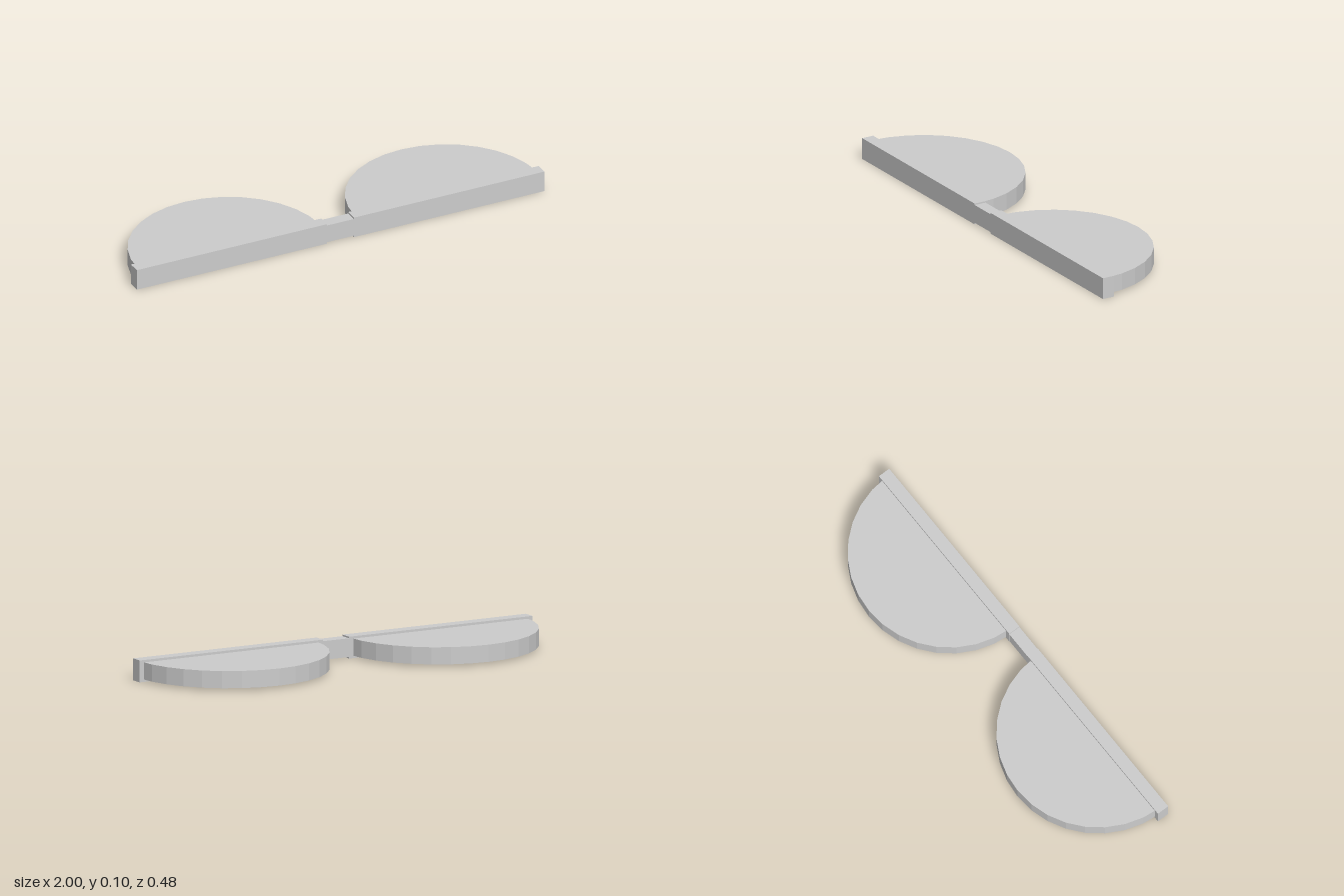
import * as THREE from 'three';

export function createModel() {
  const model = new THREE.Group();
  const grey = new THREE.MeshStandardMaterial({ color: 0xcccccc, flatShading: true });
  grey.name = 'light grey';

  const midY = 0.049;
  const barZ = 0.2095;

  const add = (name, geometry, x) => {
    const mesh = new THREE.Mesh(geometry, grey);
    mesh.name = name;
    mesh.position.set(x, midY, barZ);
    model.add(mesh);
  };

  // Half discs with straight bars along their flat edges
  for (const [side, s] of [['left', 1], ['right', -1]]) {
    add(side + 'Bar', new THREE.BoxGeometry(0.934, 0.098, 0.057), s * 0.533);
    add(side + 'HalfDisc',
      new THREE.CylinderGeometry(0.447, 0.447, 0.077, 16, 1, false, Math.PI / 2, Math.PI), s * 0.533);
  }

  // Slimmer bridge joining the two bars
  add('bridge', new THREE.BoxGeometry(0.134, 0.084, 0.056), 0);

  return model;
}
